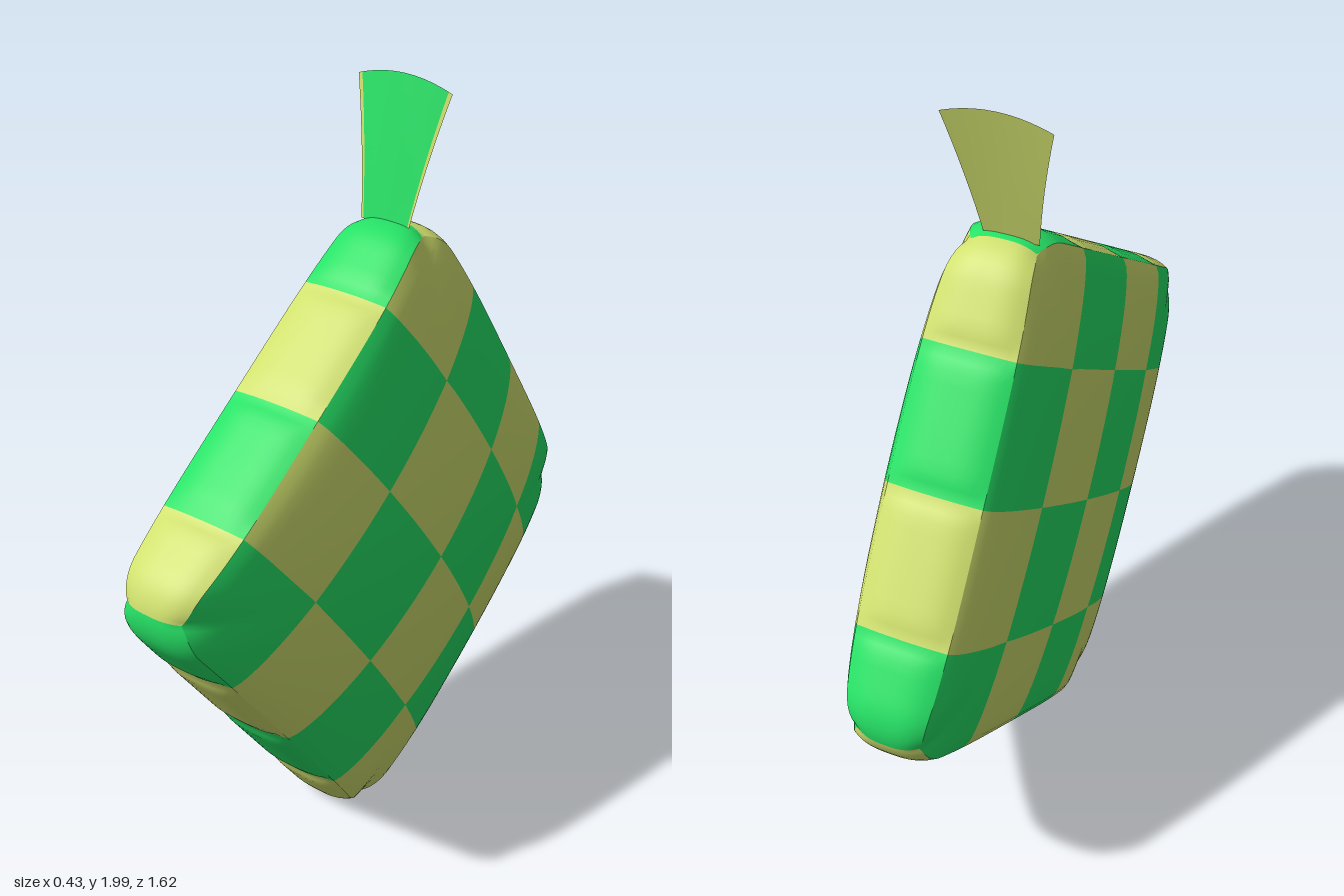
import * as THREE from 'three';

const green = new THREE.MeshStandardMaterial({ color: 0x26e266 });
green.name = 'leafGreen';
const yellow = new THREE.MeshStandardMaterial({ color: 0xd0e06e });
yellow.name = 'paleLeafYellow';

// Half sizes of the pouch, corner radius, rim inset, and where woven strips meet
const A = 0.612, B = 0.65, R = 0.15, RIM = 0.022, CENTRE_Y = 0.835;
const BREAKS = [-1, -0.53, 0, 0.53, 1];
const STEPS = 12;

// Parameter values along one side, with the breaks included
const line = [];
for (let c = 0; c < 4; c++)
  for (let i = 0; i < STEPS; i++) line.push(BREAKS[c] + (BREAKS[c + 1] - BREAKS[c]) * i / STEPS);
line.push(1);

const range = (n, a, b) => Array.from({ length: n + 1 }, (_, i) => a + (b - a) * i / n);

// Smooth grid surface; each quad takes one of the two leaf colours
function patch(name, ps, qs, point, isYellow, flip) {
  const pos = [], lists = [[], []];
  const n = qs.length;
  for (const p of ps) for (const q of qs) pos.push(...point(p, q));
  for (let i = 0; i < ps.length - 1; i++) {
    for (let j = 0; j < n - 1; j++) {
      const a = i * n + j, b = a + n, c = b + 1, d = a + 1;
      lists[isYellow(i, j) ? 1 : 0].push(...(flip ? [a, c, b, a, d, c] : [a, b, c, a, c, d]));
    }
  }
  const geo = new THREE.BufferGeometry();
  geo.setAttribute('position', new THREE.Float32BufferAttribute(pos, 3));
  geo.setIndex([...lists[0], ...lists[1]]);
  geo.addGroup(0, lists[0].length, 0);
  geo.addGroup(lists[0].length, lists[1].length, 1);
  geo.computeVertexNormals();
  const mesh = new THREE.Mesh(geo, [green, yellow]);
  mesh.name = name;
  return mesh;
}

// Tilted pouch plane to model space
const place = (x, u, v) => [x, CENTRE_Y - 0.55 * u + 0.835 * v, 0.835 * u + 0.55 * v];

// Rounded square outline for a point (s, t) on the unit square's border
function outline(s, t, inset) {
  const u = s * A, v = t * B;
  const cu = THREE.MathUtils.clamp(u, R - A, A - R);
  const cv = THREE.MathUtils.clamp(v, R - B, B - R);
  const k = (R - inset) / Math.hypot(u - cu, v - cv);
  return [cu + (u - cu) * k, cv + (v - cv) * k];
}

// Rims of the two domed faces, narrower at the corners
const leftRim = (s, t) => 0.09 - 0.05 * (s * t) ** 4;
const rightRim = (s, t) => -0.155 + 0.03 * (s * t) ** 4;

function facePoint(s, t, side) {
  const m = Math.max(Math.abs(s), Math.abs(t));
  let u = s * A, v = t * B;
  if (m > 0) {
    const [ou, ov] = outline(s / m, t / m, RIM);
    const k = m ** 4;
    u += (ou * m - u) * k;
    v += (ov * m - v) * k;
  }
  const f = Math.max(0, (1 - s * s) * (1 - t * t));
  const x = side > 0 ? leftRim(s, t) + 0.12 * f ** 0.8 : rightRim(s, t) - 0.06 * f ** 0.55;
  return place(x, u, v);
}

// Band around the edge: p runs 0..8 over four sides, w across
function bandPoint(p, w) {
  const k = Math.min(3, Math.floor(p / 2)), e = p - 2 * k - 1;
  const [s, t] = [[1, e], [-e, 1], [-1, -e], [e, -1]][k];
  const near = Math.min(...[-0.53, 0, 0.53].map((b) => Math.abs(e - b)));
  const groove = 0.012 * Math.max(0, 1 - near / 0.06) * (1 - w ** 4);
  const [u, v] = outline(s, t, RIM * Math.abs(w) ** 3 + groove);
  const x = THREE.MathUtils.lerp(rightRim(s, t), leftRim(s, t), (w + 1) / 2);
  return place(x, u, v);
}

export function createModel() {
  const model = new THREE.Group();
  model.name = 'wovenRicePouch';

  // Domed checkered faces
  const cell = (i) => Math.floor(i / STEPS);
  const checker = (i, j) => (cell(i) + cell(j)) % 2 === 1;
  model.add(patch('leftFace', line, line, (s, t) => facePoint(s, t, 1), checker, true));
  model.add(patch('rightFace', line, line, (s, t) => facePoint(s, t, -1), checker, false));

  // Edge band of alternating strips
  const around = [];
  for (let k = 0; k < 4; k++) around.push(...line.slice(0, -1).map((e) => 2 * k + e + 1));
  around.push(8);
  model.add(patch('edgeBand', around, range(12, -1, 1), bandPoint, (i) => cell(i) % 2 === 0, true));

  // Flared leaf tail, green in front with yellow borders, yellow behind
  const tail = new THREE.Group();
  tail.name = 'leafTail';
  const tailPoint = (dz) => (w, h) => [
    -0.055 + w * (0.07 + 0.045 * h + 0.02 * h * h),
    1.645 + 0.355 * h - 0.025 * w * w * h,
    -0.118 - 0.08 * h + dz,
  ];
  const across = [-1, -0.92, ...range(8, -0.8, 0.8), 0.92, 1];
  const up = range(8, 0, 1);
  const last = across.length - 2;
  tail.add(patch('tailFront', across, up, tailPoint(0.002), (i) => i === 0 || i === last, false));
  tail.add(patch('tailBack', across, up, tailPoint(-0.002), () => true, true));
  model.add(tail);

  return model;
}
